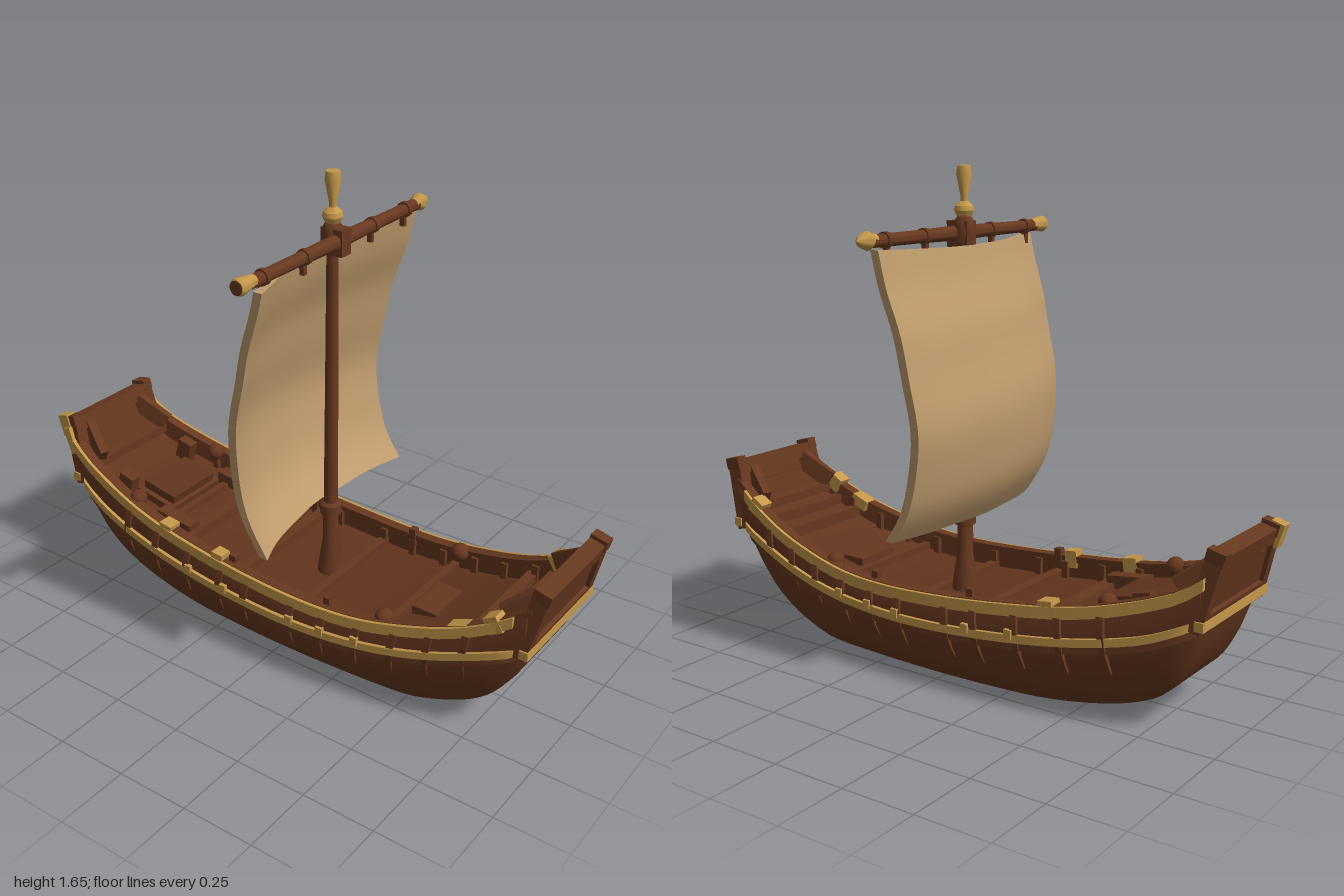
import * as THREE from 'three';
import { toCreasedNormals } from 'three/addons/utils/BufferGeometryUtils.js';

const mat = (name, color, side = THREE.FrontSide) => {
  const m = new THREE.MeshStandardMaterial({ color, side });
  m.name = name;
  return m;
};

// Smooth curve through [x, value] pairs
function curve(pts) {
  const slope = i => {
    const a = pts[Math.max(i - 1, 0)], b = pts[Math.min(i + 1, pts.length - 1)];
    return (b[1] - a[1]) / (b[0] - a[0]);
  };
  return x => {
    let i = 0;
    while (i < pts.length - 2 && x > pts[i + 1][0]) i++;
    const [x0, y0] = pts[i], [x1, y1] = pts[i + 1], h = x1 - x0;
    const t = THREE.MathUtils.clamp((x - x0) / h, 0, 1), u = 1 - t;
    return u * u * (1 + 2 * t) * y0 + t * t * (3 - 2 * t) * y1 + t * u * u * h * slope(i) - t * t * u * h * slope(i + 1);
  };
}

// Closed solid through rings of [x, y, z]; winding is set from its volume
function loft(rings, crease = 0.6) {
  const n = rings[0].length, p = rings.flat(), idx = [];
  const quad = (a, b, c, d) => idx.push(a, b, c, a, c, d);
  for (let r = 0; r < rings.length - 1; r++)
    for (let i = 0; i < n; i++) {
      const j = (i + 1) % n;
      quad(r * n + i, r * n + j, (r + 1) * n + j, (r + 1) * n + i);
    }
  const e = (rings.length - 1) * n;
  for (let i = 0; i < n / 2 - 1; i++) {
    quad(i, n - 1 - i, n - 2 - i, i + 1);
    quad(e + i, e + i + 1, e + n - 2 - i, e + n - 1 - i);
  }
  const v = k => new THREE.Vector3(...p[k]);
  let volume = 0;
  for (let k = 0; k < idx.length; k += 3) volume += v(idx[k]).dot(v(idx[k + 1]).cross(v(idx[k + 2])));
  if (volume < 0) idx.reverse();
  const g = new THREE.BufferGeometry();
  g.setAttribute('position', new THREE.Float32BufferAttribute(p.flat(), 3));
  g.setIndex(idx);
  return toCreasedNormals(g, crease);
}

// Hull lines: keel, sheer, lower band and half width along x
const keel = curve([[-0.92, 0.34], [-0.88, 0.24], [-0.82, 0.14], [-0.74, 0.08], [-0.57, 0.03], [-0.3, 0], [0.42, 0], [0.56, 0.015], [0.76, 0.1], [0.87, 0.23], [0.92, 0.34]]);
const sheer = curve([[-0.93, 0.5], [-0.85, 0.445], [-0.63, 0.37], [-0.42, 0.33], [0, 0.29], [0.33, 0.29], [0.6, 0.345], [0.78, 0.415], [0.93, 0.51]]);
const band = curve([[-0.92, 0.37], [-0.74, 0.295], [-0.42, 0.235], [0, 0.203], [0.33, 0.213], [0.6, 0.26], [0.92, 0.37]]);
const width = curve([[-0.92, 0.218], [-0.6, 0.268], [-0.3, 0.295], [0.05, 0.305], [0.35, 0.294], [0.65, 0.26], [0.92, 0.218]]);
const bulge = curve([[0, 0.65], [0.12, 0.77], [0.3, 0.89], [0.55, 0.98], [0.78, 1], [1, 0.96]]);
const halfWidth = (x, y) => width(x) * bulge((y - keel(x)) / (sheer(x) - keel(x)));
const deckY = x => sheer(x) - 0.065;
const steps = (a, b, n) => Array.from({ length: n + 1 }, (_, i) => a + (b - a) * i / n);

export function createModel() {
  const wood = mat('brown wood', 0x67381f);
  const deckWood = mat('deck wood', 0x61341d);
  const gold = mat('gold trim', 0xc4974a);
  const canvas = mat('sail canvas', 0xc09c6d, THREE.DoubleSide);
  const ship = new THREE.Group();
  ship.name = 'sailingShip';

  const add = (name, geo, m, x = 0, y = 0, z = 0, parent = ship) => {
    const mesh = new THREE.Mesh(geo, m);
    mesh.name = name;
    mesh.position.set(x, y, z);
    parent.add(mesh);
    return mesh;
  };
  const box = (name, m, w, h, d, x, y, z, parent) => add(name, new THREE.BoxGeometry(w, h, d), m, x, y, z, parent);

  // Hull with bulwarks
  const hullRings = steps(-Math.PI / 2, Math.PI / 2, 56).map(a => {
    const x = 0.92 * Math.sin(a), k = keel(x), s = sheer(x), side = [];
    for (const t of [0, 0.06, 0.12, 0.22, 0.35, 0.5, 0.65, 0.8, 1]) side.push([x, k + (s - k) * t, width(x) * bulge(t)]);
    const inner = halfWidth(x, s) - 0.03;
    side.push([x, s, inner], [x, deckY(x), inner]);
    return [...side, ...side.slice().reverse().map(([a, b, c]) => [a, b, -c])];
  });
  add('hull', loft(hullRings, 0.7), wood);

  // Deck planking
  add('deck', loft(steps(-0.9, 0.9, 30).map(x => {
    const w = halfWidth(x, sheer(x)) - 0.028, y = deckY(x);
    return [[x, y - 0.01, w], [x, y + 0.004, w], [x, y + 0.004, -w], [x, y - 0.01, -w]];
  })), deckWood);

  // Strips that run along both sides of the hull
  const strip = (name, m, x0, x1, yOf, h, inward, out) => {
    for (const s of [1, -1])
      add(name, loft(steps(x0, x1, 40).map(x => {
        const y = yOf(x), w = halfWidth(x, y);
        return [[x, y - h / 2, s * (w - inward)], [x, y + h / 2, s * (w - inward)], [x, y + h / 2, s * (w + out)], [x, y - h / 2, s * (w + out)]];
      })), m);
  };
  strip('topRail', gold, -0.93, 0.88, x => sheer(x) - 0.006, 0.038, 0.01, 0.011);
  strip('railCap', wood, -0.92, 0.93, x => sheer(x) + 0.005, 0.02, 0.036, 0);
  strip('lowerBand', gold, -0.92, 0.92, band, 0.026, 0.01, 0.012);
  strip('lowerWale', wood, -0.9, 0.9, x => band(x) - 0.026, 0.022, 0.01, 0.007);

  // Ribs on the outside of the hull
  for (const x of [-0.62, -0.48, -0.33, -0.18, -0.07, 0.12, 0.24, 0.37, 0.5, 0.62, 0.74])
    for (const s of [1, -1]) {
      const top = sheer(x) - 0.02, low = Math.max(band(x) - 0.1, keel(x) + 0.05);
      add('rib', loft(steps(low, top, 6).map((y, i) => {
        const w = halfWidth(x, y), o = 0.002 + 0.008 * Math.min(1, i / 2), c = x + (y - top) * -0.02 + (y - top) * 0.14;
        return [[c - 0.012, y, s * (w - 0.01)], [c - 0.012, y, s * (w + o)], [c + 0.012, y, s * (w + o)], [c + 0.012, y, s * (w - 0.01)]];
      })), wood);
      box('inwardRib', wood, 0.022, 0.06, 0.02, x, sheer(x) - 0.032, s * (halfWidth(x, sheer(x)) - 0.036));
    }

  // Raised, outward-leaning end boards
  const trapezoid = (Kind, y0, y1, w0, w1) => new Kind([[-w0, y0], [w0, y0], [w1, y1], [-w1, y1]].map(([a, b]) => new THREE.Vector2(a, b)));
  for (const s of [1, -1]) {
    const end = new THREE.Group();
    end.name = s > 0 ? 'bowBoard' : 'sternBoard';
    end.position.set(s * 0.915, 0.35, 0);
    end.rotation.set(0, s * Math.PI / 2, 0);
    const tilt = new THREE.Group();
    tilt.rotation.x = 0.25;
    end.add(tilt);
    ship.add(end);
    const frame = trapezoid(THREE.Shape, -0.01, 0.235, 0.22, 0.2);
    frame.holes.push(trapezoid(THREE.Path, 0.05, 0.185, 0.18, 0.165));
    add('boardFrame', new THREE.ExtrudeGeometry(frame, { depth: 0.055, bevelEnabled: false }), wood, 0, 0, -0.045, tilt);
    add('boardPanel', new THREE.ExtrudeGeometry(trapezoid(THREE.Shape, 0, 0.22, 0.205, 0.19), { depth: 0.028, bevelEnabled: false }), wood, 0, 0, -0.032, tilt);
    for (const k of [1, -1]) {
      box('boardHorn', wood, 0.04, 0.04, 0.06, k * 0.185, 0.228, -0.016, tilt);
      // Knees bracing the board
      const knee = box('knee', wood, 0.14, 0.065, 0.03, s * 0.88, 0.495, k * 0.15);
      knee.rotation.set(0, k * s * 0.4, s * 0.6);
    }
    box('endBand', gold, 0.03, 0.03, 0.445, s * 0.921, 0.366, 0);
    box('endBench', wood, 0.05, 0.03, 0.36, s * 0.86, 0.425, 0);
  }
  const tip = box('goldTip', gold, 0.045, 0.08, 0.04, -0.97, 0.555, 0.19);
  tip.rotation.z = 0.3;
  const tipRail = box('goldTipRail', gold, 0.03, 0.1, 0.025, -0.942, 0.505, 0.207);
  tipRail.rotation.z = 0.35;

  // Cross beams on the deck
  for (const [x, w, h] of [[-0.52, 0.025, 0.03], [-0.41, 0.05, 0.04], [-0.15, 0.035, 0.035], [0.12, 0.03, 0.03], [0.42, 0.025, 0.03], [0.73, 0.035, 0.04], [0.81, 0.035, 0.035]])
    box('crossBeam', wood, w, h, 2 * halfWidth(x, sheer(x)) - 0.06, x, deckY(x) + h / 2 - 0.005, 0);

  // Hatch, locker plate, seats and deck fittings
  const hatch = new THREE.Group();
  hatch.name = 'hatch';
  hatch.position.set(-0.625, deckY(-0.625) + 0.012, 0);
  hatch.rotation.z = -0.19;
  ship.add(hatch);
  box('hatchCoaming', wood, 0.17, 0.04, 0.26, 0, 0, 0, hatch);
  box('hatchLid', deckWood, 0.14, 0.07, 0.22, 0, 0.015, 0, hatch);
  box('lockerPlate', wood, 0.09, 0.03, 0.17, 0.495, deckY(0.495) + 0.01, 0);
  for (const s of [1, -1]) {
    const seat = box('sideSeat', wood, 0.15, 0.045, 0.05, -0.48, deckY(-0.48) + 0.035, s * 0.17);
    seat.rotation.z = -0.12;
    box('seatPost', wood, 0.06, 0.08, 0.04, -0.72, deckY(-0.72) + 0.045, s * 0.16).rotation.z = -0.25;
  }
  const onRail = (name, m, x, s, w, h, d, inset) => {
    const b = box(name, m, w, h, d, x, sheer(x) + h / 2 - 0.025, s * (halfWidth(x, sheer(x)) - inset));
    b.rotation.z = Math.atan((sheer(x + 0.01) - sheer(x - 0.01)) / 0.02);
  };
  for (const s of [1, -1]) {
    for (const x of [-0.44, 0.82]) onRail('goldCleat', gold, x, s, 0.05, 0.055, 0.05, 0.015);
    for (const x of [-0.15, 0.24]) onRail('railPin', wood, x, s, 0.025, 0.065, 0.025, 0.03);
    for (const x of [-0.62, 0.44])
      add('bollard', new THREE.SphereGeometry(0.032, 12, 8), wood, x, sheer(x) + 0.008, s * (halfWidth(x, sheer(x)) - 0.04));
    for (const x of [-0.32, -0.16, 0.12, 0.24, 0.37]) box('goldStud', gold, 0.026, 0.03, 0.014, x, band(x) + 0.015, s * (halfWidth(x, band(x)) + 0.01));
  }
  onRail('goldCleat', gold, -0.2, 1, 0.045, 0.06, 0.045, 0.015);
  onRail('goldCleat', gold, 0.71, 1, 0.07, 0.04, 0.045, 0.02);

  // Mast with flared foot, collar and gold finial
  const lathe = (name, m, pts, x, y, z) => add(name, toCreasedNormals(new THREE.LatheGeometry(pts.map(([r, h]) => new THREE.Vector2(r, h)), 14), 0.6), m, x, y, z);
  const mx = 0.065;
  lathe('mast', wood, [[0, 0.2], [0.046, 0.2], [0.042, 0.25], [0.026, 0.36], [0.026, 0.45], [0.036, 0.455], [0.036, 0.49], [0.024, 0.5], [0.019, 1.38], [0.03, 1.39], [0.036, 1.43], [0.03, 1.47], [0.02, 1.485], [0, 1.485]], mx, 0, 0);
  box('mastHead', wood, 0.08, 0.085, 0.05, 0.077, 1.425, 0);
  lathe('finial', gold, [[0, 1.475], [0.02, 1.475], [0.033, 1.5], [0.03, 1.515], [0.012, 1.53], [0.012, 1.545], [0.026, 1.615], [0.022, 1.642], [0, 1.645]], mx, 0, 0);

  // Yard with bands and gold ends
  const yard = lathe('yard', wood, [[0, -0.44], [0.02, -0.44], [0.021, -0.2], [0.025, 0], [0.021, 0.2], [0.02, 0.44], [0, 0.44]], 0.09, 1.427, 0);
  yard.rotation.x = Math.PI / 2;
  for (const z of [-0.37, -0.18, 0.18, 0.38]) {
    const ring = add('yardBand', new THREE.CylinderGeometry(0.026, 0.026, 0.018, 12), wood, 0.09, 1.427, z);
    ring.rotation.x = Math.PI / 2;
    box('sailTie', wood, 0.016, 0.06, 0.016, 0.085, 1.4, z);
  }
  lathe('yardEndLeft', gold, [[0, 0.425], [0.02, 0.425], [0.022, 0.45], [0.028, 0.49], [0.024, 0.5], [0, 0.5]], 0.09, 1.43, 0).rotation.x = Math.PI / 2;
  lathe('yardEndRight', gold, [[0, 0.42], [0.02, 0.42], [0.019, 0.435], [0.03, 0.455], [0.018, 0.485], [0, 0.503]], 0.09, 1.43, 0).rotation.x = -Math.PI / 2;
  const cap = add('yardEndCap', new THREE.CylinderGeometry(0.022, 0.022, 0.004, 14), wood, 0.09, 1.43, 0.5);
  cap.rotation.x = Math.PI / 2;

  // Billowing sail with soft ripples, its edges swept back and thickened
  const belly = curve([[0.49, 0.015], [0.59, -0.048], [0.7, -0.085], [0.82, -0.1], [0.95, -0.088], [1.14, -0.045], [1.28, 0], [1.39, 0.03]]);
  const sailRings = steps(0, 1, 28).map(v => {
    const y = 1.39 - 0.89 * v;
    const row = steps(-1, 1, 28).map(u => {
      const ripple = 0.005 * Math.sin(5 * u + 9 * v) * Math.cos(11 * v - 4 * u);
      const sweep = u * u * (u > 0 ? 0.068 : 0.035);
      return [belly(y) + sweep + ripple, y + 0.012 * u * u * (1 - v) - 0.01 * v, u * (0.438 - 0.03 * Math.min(1, v * 1.3)), u];
    });
    const back = row.slice().reverse().map(([x, h, z, u]) => [x + 0.014 + 0.016 * u * u, h, z]);
    return [...row.map(q => q.slice(0, 3)), ...back];
  });
  add('sail', loft(sailRings, 0.8), canvas);

  return ship;
}
